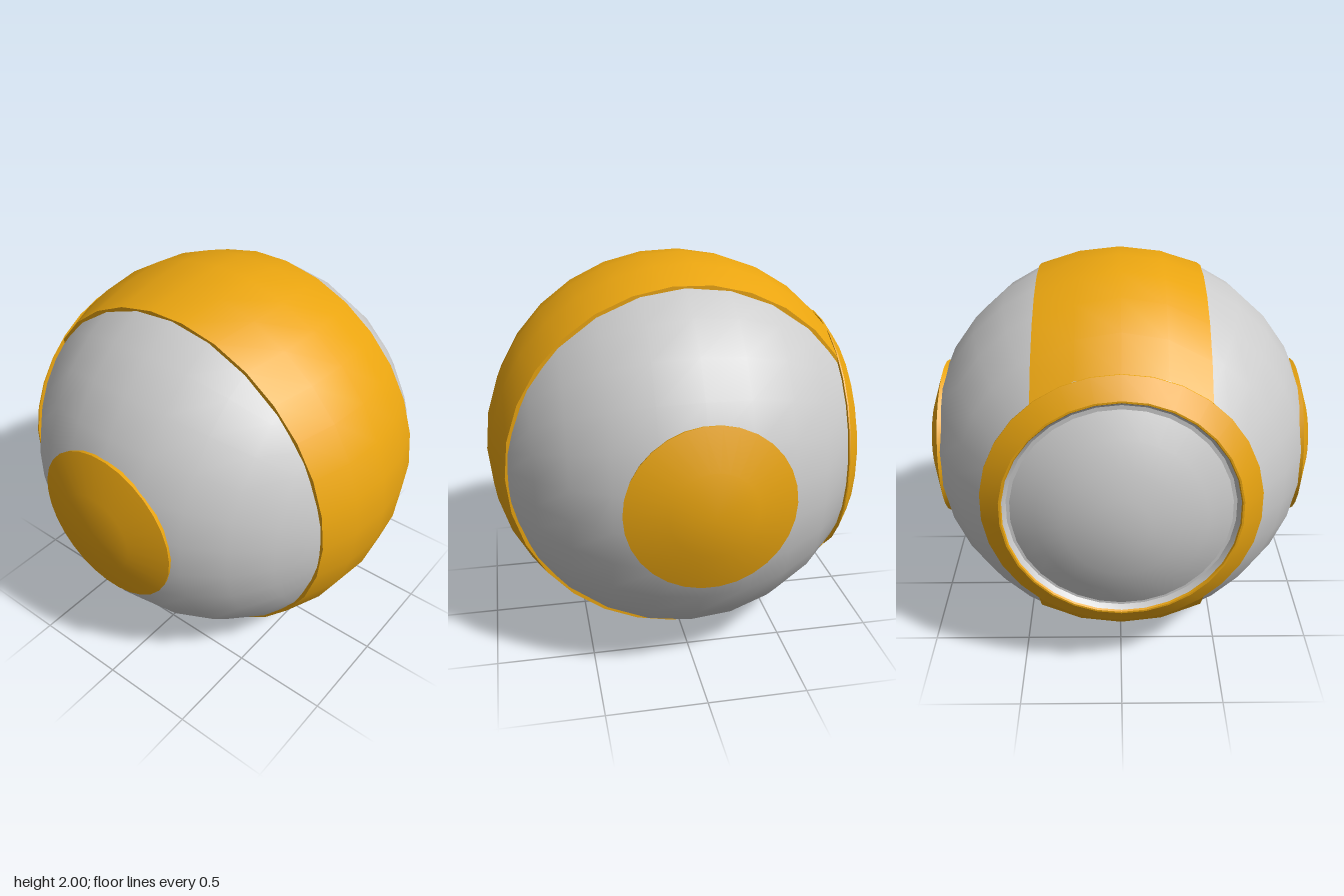
import * as THREE from 'three';
import { toCreasedNormals } from 'three/addons/utils/BufferGeometryUtils.js';
import { ParametricGeometry } from 'three/addons/geometries/ParametricGeometry.js';

const SEGMENTS = 30;
const STEP = (Math.PI * 2) / SEGMENTS;
const RING_Z = 0.75; // distance of the rear ring's front edge behind the centre

const grey = new THREE.MeshStandardMaterial({ color: 0xcccccc, side: THREE.DoubleSide });
const amber = new THREE.MeshStandardMaterial({ color: 0xeaa510, side: THREE.DoubleSide });

// Profile points [radius, height] on a sphere, between two angles measured from the +height pole
function arc(radius, from, to, count) {
  return Array.from({ length: count + 1 }, (_, i) => {
    const t = from + ((to - from) * i) / count;
    return [Math.max(0, radius * Math.sin(t)), radius * Math.cos(t)];
  });
}

function lathe(profile) {
  const points = profile.map(([r, h]) => new THREE.Vector2(r, h));
  return toCreasedNormals(new THREE.LatheGeometry(points, SEGMENTS), 0.5);
}

export function createModel() {
  const model = new THREE.Group();
  model.name = 'bandedSphere';
  const ball = new THREE.Group();
  ball.name = 'ball';
  ball.position.set(0, 1, -0.02);
  model.add(ball);

  function add(name, geometry, material) {
    const mesh = new THREE.Mesh(geometry, material);
    mesh.name = name;
    ball.add(mesh);
  }
  // Turned parts whose axis points to the back
  const backLathe = (profile) => lathe(profile).rotateX(-Math.PI / 2);

  // Main shell, open at the back
  const shellRadius = 0.988;
  add('shell', backLathe(arc(shellRadius, Math.PI, Math.acos(RING_Z / shellRadius), 11)), grey);

  // Central band, ending where it meets the rear ring
  const edge = Math.sin(2 * STEP);
  const columns = [[-edge, 0.88]];
  for (let i = -2; i <= 2; i++) columns.push([Math.sin(i * STEP), Math.cos(i * STEP)]);
  columns.push([edge, 0.88]);
  const band = new ParametricGeometry((u, v, target) => {
    const [x, r] = columns[Math.round(u * (columns.length - 1))];
    const a = Math.acos(-RING_Z / r) * (2 * v - 1);
    target.set(x, r * Math.sin(a), r * Math.cos(a));
  }, columns.length - 1, 24);
  add('centralBand', toCreasedNormals(band, 0.5), amber);

  // Round caps on both sides
  for (const [name, side] of [['leftCap', 1], ['rightCap', -1]]) {
    const profile = [[0.4, 0.89], ...arc(1, 2 * STEP, 0, 2)];
    add(name, lathe(profile).rotateZ((-side * Math.PI) / 2), amber);
  }

  // Rear ring with a bevelled outside and a thin lip
  add('rearRing', backLathe([
    [0.62, RING_Z], [0.662, RING_Z], [0.662, 0.757], [0.567, 0.826], [0.558, 0.826], [0.552, 0.815],
  ]), amber);

  // Recessed rim between ring and lens
  add('rearRim', backLathe([[0.553, 0.817], [0.535, 0.795], [0.51, 0.795]]), grey);

  // Domed rear lens
  const lensRadius = 0.955;
  add('rearLens', backLathe(arc(lensRadius, Math.asin(0.518 / lensRadius), 0, 4)), grey);

  return model;
}
